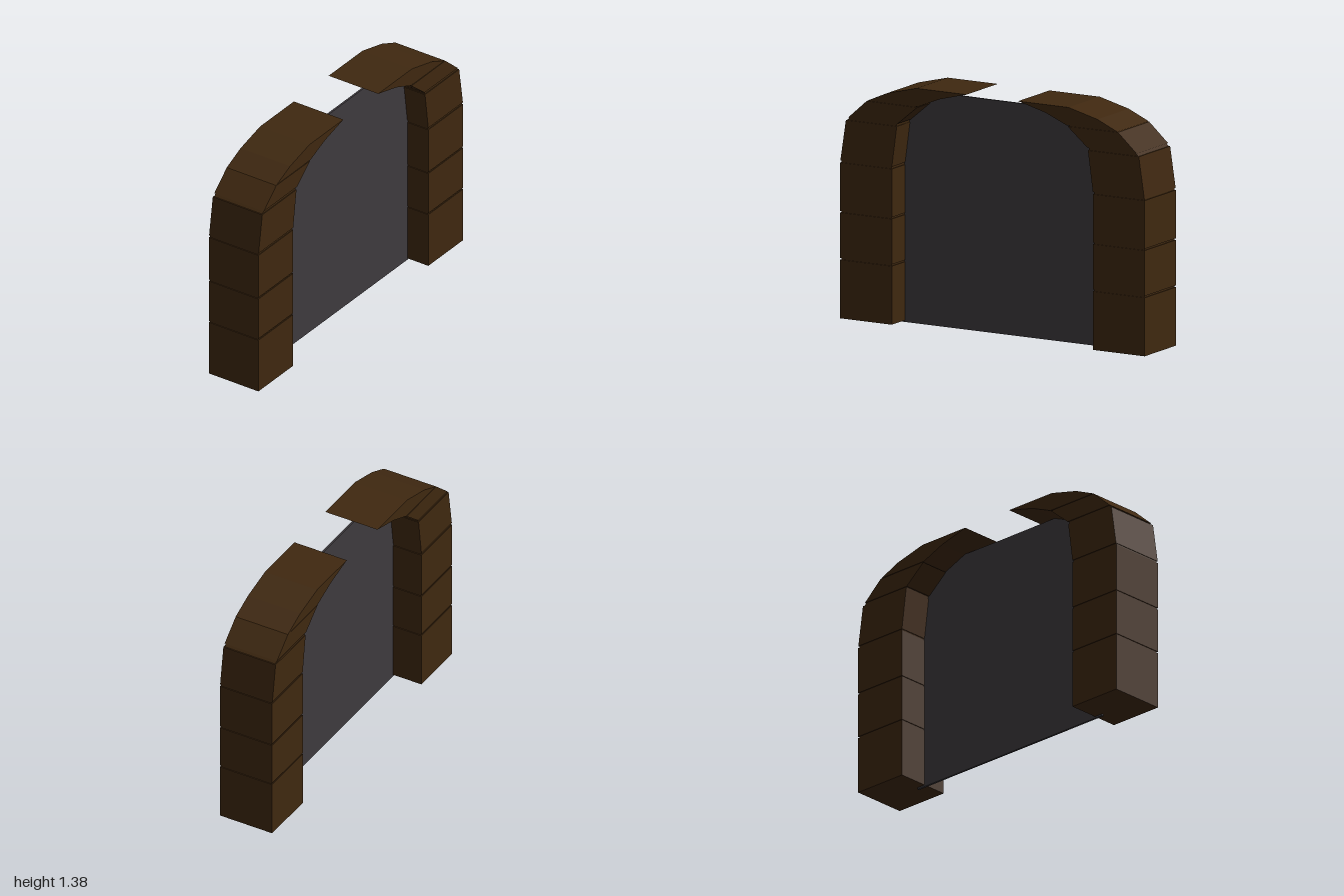
import * as THREE from 'three';

const stoneMat = new THREE.MeshStandardMaterial({ color: 0x3f2810, flatShading: true });
const panelMat = new THREE.MeshStandardMaterial({ color: 0x3e3a3e, flatShading: true });

// Extrudes a [z, y] outline along x, centred on the given x
function slab(name, points, width, material, x = 0) {
  const shape = new THREE.Shape(points.map(([z, y]) => new THREE.Vector2(z, y)));
  const geometry = new THREE.ExtrudeGeometry(shape, { depth: width, bevelEnabled: false });
  geometry.rotateY(-Math.PI / 2);
  geometry.translate(x + width / 2, 0, 0);
  const mesh = new THREE.Mesh(geometry, material);
  mesh.name = name;
  return mesh;
}

// Outlines of the blocks in one half of the arch, from the ground up
const pillar = (y0, y1) => [[0.66, y0], [1, y0], [1, y1], [0.66, y1]];
const blocks = [
  pillar(0.01, 0.346),
  pillar(0.356, 0.617),
  pillar(0.627, 0.904),
  [[0.66, 0.917], [0.998, 0.917], [0.962, 1.152], [0.628, 1.152]],
  [[0.623, 1.168], [0.948, 1.168], [0.825, 1.277], [0.495, 1.275]],
  [[0.49, 1.28], [0.82, 1.28], [0.69, 1.337], [0.5, 1.385], [0.17, 1.385], [0.35, 1.338]],
];

// Slightly recessed mortar showing in the joints
const mortar = [
  [0.665, 0.02], [0.995, 0.02], [0.995, 0.91], [0.957, 1.15], [0.94, 1.168],
  [0.82, 1.275], [0.69, 1.33], [0.5, 1.378], [0.36, 1.342], [0.5, 1.282],
  [0.63, 1.168], [0.665, 0.91],
];

export function createModel() {
  const group = new THREE.Group();
  group.name = 'archway';

  for (const side of [1, -1]) {
    const half = new THREE.Group();
    half.name = side > 0 ? 'frontArchHalf' : 'backArchHalf';
    const flip = (points) => points.map(([z, y]) => [z * side, y]);
    blocks.forEach((points, i) => half.add(slab(`block${i + 1}`, flip(points), 0.34, stoneMat)));
    half.add(slab('mortar', flip(mortar), 0.33, stoneMat));
    group.add(half);
  }

  // Thin panel filling the opening
  const edge = [[0.715, 0], [0.715, 1.15], [0.58, 1.27], [0.4, 1.34], [0.11, 1.338]];
  const mirrored = edge.map(([z, y]) => [-z, y]).reverse();
  group.add(slab('doorPanel', [...edge, ...mirrored], 0.012, panelMat, 0.02));
  return group;
}
